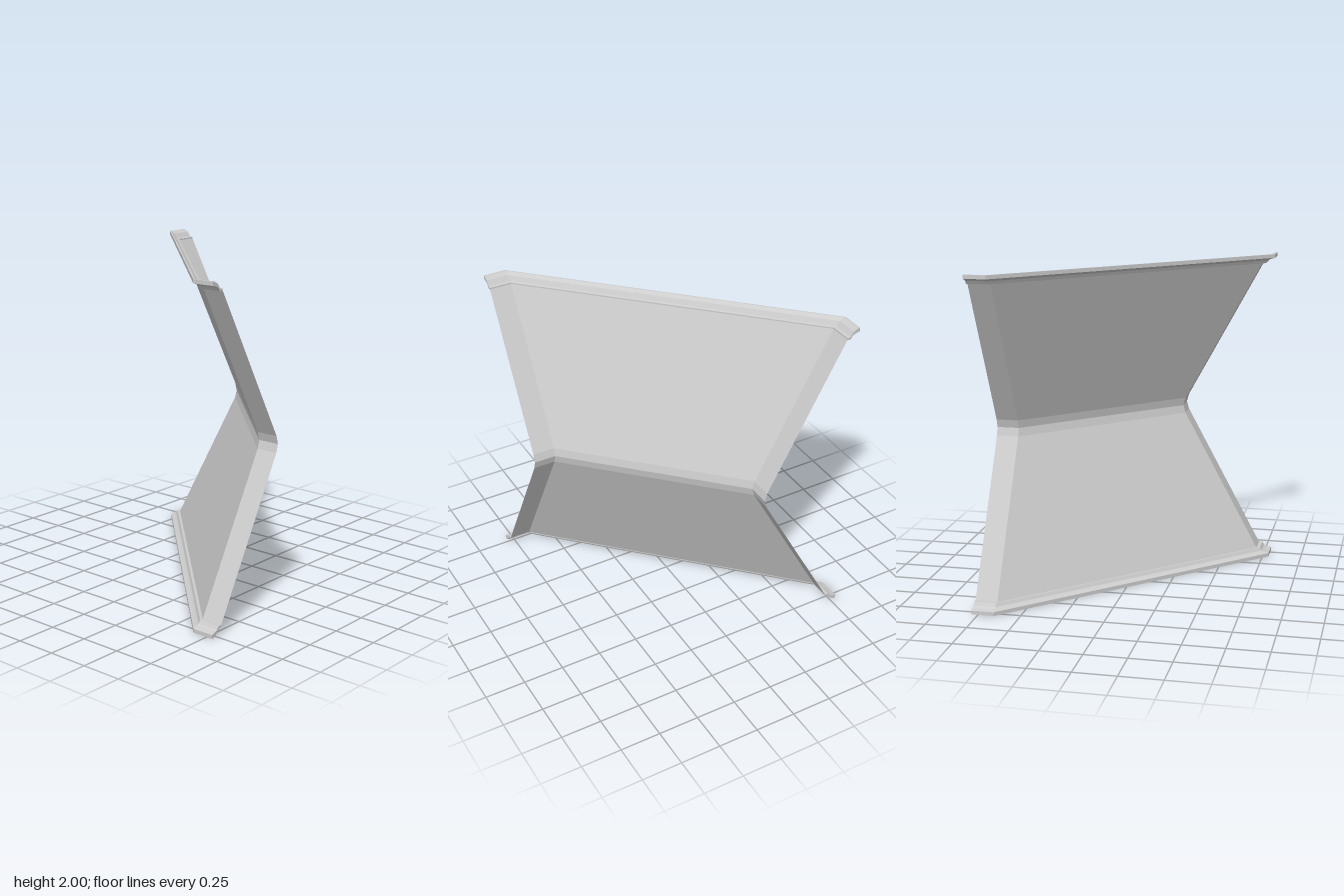
import * as THREE from 'three';

const HALF = 0.79;   // half extent in plan
const BEND = 0.655;  // where the end returns meet the diagonal panel

// Plan path at depth d behind/inside the outer edge: return, diagonal, return
const path = d => [
  [-HALF + d, HALF], [-HALF + d, BEND], [BEND, -HALF + d], [HALF, -HALF + d],
];

// Sweeps a [depth, height] profile along the plan path with crisp facets
function sweep(profile, closed = false) {
  const pts = closed ? [...profile, profile[0]] : profile;
  const at = (i, j) => {
    const [x, z] = path(pts[j][0])[i];
    return [x, pts[j][1], z];
  };
  const pos = [];
  for (let i = 0; i < 3; i++) {
    for (let j = 0; j < pts.length - 1; j++) {
      const a = at(i, j), b = at(i + 1, j), c = at(i + 1, j + 1), d = at(i, j + 1);
      pos.push(...a, ...b, ...c, ...a, ...c, ...d);
    }
  }
  const geo = new THREE.BufferGeometry();
  geo.setAttribute('position', new THREE.Float32BufferAttribute(pos, 3));
  geo.computeVertexNormals();
  return geo;
}

export function createModel() {
  const model = new THREE.Group();
  const mat = new THREE.MeshStandardMaterial({
    color: 0xcccccc, flatShading: true, side: THREE.DoubleSide,
  });
  const add = (parent, geo, name) => {
    const mesh = new THREE.Mesh(geo, mat);
    mesh.name = name;
    parent.add(mesh);
    return mesh;
  };

  // Thin pinched wall with a small bevel at the waist
  add(model, sweep([
    [0.08, 0.055], [0.566, 0.95], [0.58, 1], [0.566, 1.05], [0.08, 1.945],
  ]), 'wallPanel');

  // Moulded lip: upper face from the wall outwards, then the underside back
  const lip = [
    [0.08, 1.953], [0.06, 1.957], [0.04, 1.985], [0.012, 2], [0, 2],
    [0, 1.977], [0.03, 1.969], [0.045, 1.961], [0.058, 1.942], [0.08, 1.942],
  ];
  const flipped = lip.map(([d, y]) => [d, 2 - y]).reverse();

  for (const [profile, name] of [[lip, 'topTrim'], [flipped, 'bottomTrim']]) {
    const trim = new THREE.Group();
    trim.name = name;
    model.add(trim);
    add(trim, sweep(profile, true), name + 'Moulding');

    // End caps closing the moulding
    const cap = new THREE.ShapeGeometry(
      new THREE.Shape(profile.map(([d, y]) => new THREE.Vector2(d, y))));
    add(trim, cap, name + 'FrontCap').position.set(-HALF, 0, HALF);
    const side = add(trim, cap, name + 'SideCap');
    side.position.set(HALF, 0, -HALF);
    side.rotation.y = -Math.PI / 2;
  }
  return model;
}
